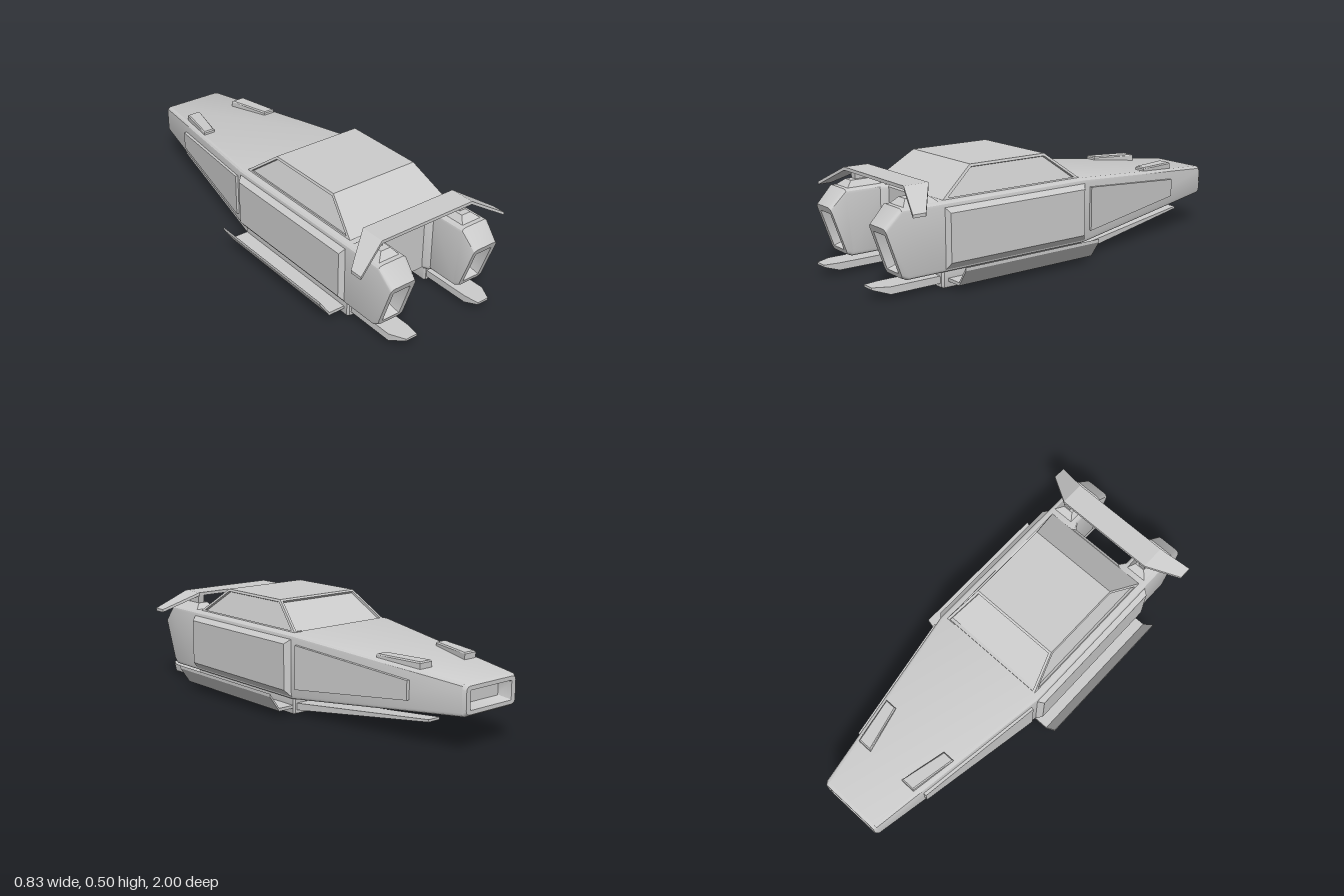
import * as THREE from 'three';
import { toCreasedNormals } from 'three/addons/utils/BufferGeometryUtils.js';

const grey = new THREE.MeshStandardMaterial({ color: 0xcccccc, side: THREE.DoubleSide });

// Skins a chain of equal-sized rings of [x, y, z] points; faces are turned away from ref.
function loft(rings, { capStart = true, ref = [0, 0, 0], crease = 0.5 } = {}) {
  const n = rings[0].length, tris = [];
  const fan = (r, flip) => {
    for (let i = 1; i < n - 1; i++) tris.push(flip ? [r[0], r[i + 1], r[i]] : [r[0], r[i], r[i + 1]]);
  };
  if (capStart) fan(rings[0], true);
  for (let k = 0; k < rings.length - 1; k++) {
    const a = rings[k], b = rings[k + 1];
    for (let i = 0; i < n; i++) {
      const j = (i + 1) % n;
      tris.push([a[i], a[j], b[j]], [a[i], b[j], b[i]]);
    }
  }
  fan(rings[rings.length - 1], false);
  const o = new THREE.Vector3(...ref);
  let volume = 0;
  for (const t of tris) {
    const [a, b, c] = t.map((p) => new THREE.Vector3(...p).sub(o));
    volume += a.dot(b.cross(c));
  }
  if (volume < 0) tris.forEach((t) => t.reverse());
  const g = new THREE.BufferGeometry();
  g.setAttribute('position', new THREE.Float32BufferAttribute(tris.flat(2), 3));
  return toCreasedNormals(g, crease);
}

// Rounded rectangle facing z; zb and zt are the depths at its bottom and top.
function ring(x0, x1, y0, y1, zb, zt = zb, r = 0.02) {
  const pts = [];
  const corners = [[x1 - r, y1 - r], [x0 + r, y1 - r], [x0 + r, y0 + r], [x1 - r, y0 + r]];
  corners.forEach(([cx, cy], q) => {
    for (let s = 0; s <= 3; s++) {
      const a = (q + s / 3) * Math.PI / 2;
      const y = cy + r * Math.sin(a);
      pts.push([cx + r * Math.cos(a), y, zb + (zt - zb) * (y - y0) / (y1 - y0)]);
    }
  });
  return pts;
}

// Rectangles facing each axis
const quadZ = (x0, x1, y0, y1, z) => [[x0, y0, z], [x1, y0, z], [x1, y1, z], [x0, y1, z]];
const quadY = (x0, x1, z0, z1, y) => [[x0, y, z0], [x1, y, z0], [x1, y, z1], [x0, y, z1]];
const quadX = (y0, y1, z0, z1, x) => [[x, y0, z0], [x, y1, z0], [x, y1, z1], [x, y0, z1]];

// Moves the corners of a quad inward along its edges by a fixed distance.
function insetQuad(q, d) {
  const v = q.map((p) => new THREE.Vector3(...p));
  return v.map((p, i) => {
    const a = v[(i + 1) % 4].clone().sub(p).normalize();
    const b = v[(i + 3) % 4].clone().sub(p).normalize();
    const sin = a.clone().cross(b).length();
    return p.clone().addScaledVector(a.add(b), d / sin).toArray();
  });
}

// Shifts a quad along its normal, toward ref.
function sink(q, d, ref) {
  const [a, b, c] = q.map((p) => new THREE.Vector3(...p));
  const n = b.clone().sub(a).cross(c.clone().sub(a)).normalize();
  if (n.dot(new THREE.Vector3(...ref).sub(a)) < 0) n.negate();
  return q.map((p) => new THREE.Vector3(...p).addScaledVector(n, d).toArray());
}

export function createModel() {
  const model = new THREE.Group();
  const add = (name, rings, options) => {
    const mesh = new THREE.Mesh(loft(rings, options), grey);
    mesh.name = name;
    model.add(mesh);
  };
  const pair = (name, rings) => {
    add('left' + name, rings);
    add('right' + name, rings.map((r) => r.map(([x, y, z]) => [-x, y, z])));
  };

  // Hull with tapering nose and a recessed nose intake
  add('hull', [
    ring(-0.295, 0.295, 0.085, 0.37, 0.69),
    ring(-0.305, 0.305, 0.075, 0.38, 0.675),
    ring(-0.305, 0.305, 0.075, 0.38, -0.08),
    ring(-0.16, 0.16, 0.16, 0.3, -0.985),
    ring(-0.15, 0.15, 0.17, 0.29, -1),
    ring(-0.125, 0.125, 0.188, 0.272, -1, -1, 0.004),
    ring(-0.11, 0.11, 0.2, 0.26, -0.94, -0.94, 0.004),
  ]);

  // Canopy with sunken windscreen and side windows
  const ref = [0, 0.38, 0.3];
  const base = quadY(-0.275, 0.275, -0.075, 0.68, 0.375);
  const roof = quadY(-0.225, 0.225, 0.095, 0.5, 0.505);
  add('canopyRoof', [roof], { capStart: false, ref });
  const sides = ['windscreen', 'leftWindow', 'canopyBack', 'rightWindow'];
  sides.forEach((name, i) => {
    const j = (i + 1) % 4;
    const face = [base[i], base[j], roof[j], roof[i]];
    const hole = insetQuad(face, 0.012);
    const rings = name === 'canopyBack' ? [face] : [face, hole, sink(hole, 0.012, ref)];
    add(name, rings, { capStart: false, ref, crease: 0.2 });
  });

  // Engine pods with slanted, recessed exhausts
  pair('Engine', [
    ring(0.132, 0.305, 0.075, 0.38, 0.66),
    ring(0.132, 0.305, 0.075, 0.38, 0.69),
    ring(0.155, 0.305, 0.075, 0.38, 0.72),
    ring(0.155, 0.305, 0.075, 0.38, 0.865, 0.89),
    ring(0.163, 0.297, 0.085, 0.305, 0.888, 0.965),
    ring(0.185, 0.275, 0.105, 0.275, 0.895, 0.954, 0.002),
    ring(0.195, 0.265, 0.125, 0.27, 0.845, 0.895, 0.002),
  ]);

  // Spoiler with drooping tips, and its mounts
  add('spoiler', [
    quadX(0.362, 0.376, 0.835, 0.897, -0.4),
    quadX(0.445, 0.46, 0.725, 0.845, -0.25),
    quadX(0.445, 0.46, 0.725, 0.845, 0.25),
    quadX(0.362, 0.376, 0.835, 0.897, 0.4),
  ]);
  pair('SpoilerFoot', [
    quadY(0.17, 0.295, 0.69, 0.88, 0.37),
    quadY(0.2, 0.25, 0.73, 0.84, 0.407),
  ]);
  pair('SpoilerStrut', [
    quadY(0.217, 0.25, 0.735, 0.81, 0.4),
    quadY(0.217, 0.25, 0.73, 0.81, 0.45),
  ]);

  // Raised panels on the cabin sides and the nose sides
  pair('SidePanel', [
    quadX(0.085, 0.36, -0.085, 0.685, 0.3),
    quadX(0.12, 0.335, -0.06, 0.67, 0.33),
  ]);
  const nosePanel = (out) => [
    [0.292 + out, 0.13, -0.115], [0.292 + out, 0.335, -0.115],
    [0.196 + out, 0.275, -0.73], [0.196 + out, 0.19, -0.73],
  ];
  pair('NosePanel', [nosePanel(-0.015), nosePanel(0.02)]);

  // Vents on top of the nose
  const vent = (yFront, yBack, d) => [
    [0.1 + d, yFront, -0.76 + d], [0.17 - d, yFront, -0.76 + d],
    [0.21 - d, yBack, -0.54 - d], [0.152 + d, yBack, -0.54 - d],
  ];
  pair('NoseVent', [vent(0.3, 0.32, 0), vent(0.345, 0.35, 0), vent(0.351, 0.356, 0.005)]);

  // Pontoons under the cabin
  pair('Pontoon', [
    ring(0.16, 0.28, 0.006, 0.09, 0.69, 0.69, 0.008),
    ring(0.155, 0.287, 0.001, 0.095, 0.68, 0.68, 0.008),
    ring(0.155, 0.287, 0.001, 0.095, -0.07, -0.07, 0.008),
    ring(0.16, 0.28, 0.006, 0.09, -0.08, -0.08, 0.008),
  ]);

  // Side fins with upturned edges
  pair('SideFin', [
    quadX(0.03, 0.044, -0.07, 0.66, 0.28),
    quadX(0.03, 0.044, -0.07, 0.66, 0.366),
    quadX(0.105, 0.12, -0.07, 0.66, 0.417),
  ]);

  // Long blades reaching forward under the nose, and short ones at the tail
  pair('FrontBlade', [
    quadZ(0.165, 0.275, 0.02, 0.052, -0.05),
    quadZ(0.16, 0.27, 0.024, 0.056, -0.1),
    quadZ(0.1, 0.165, 0.105, 0.116, -0.81),
  ]);
  pair('TailBlade', [
    quadZ(0.165, 0.27, 0.022, 0.055, 0.67),
    quadZ(0.165, 0.27, 0.022, 0.055, 0.93),
    quadZ(0.175, 0.235, 0.045, 0.055, 1),
  ]);

  return model;
}
